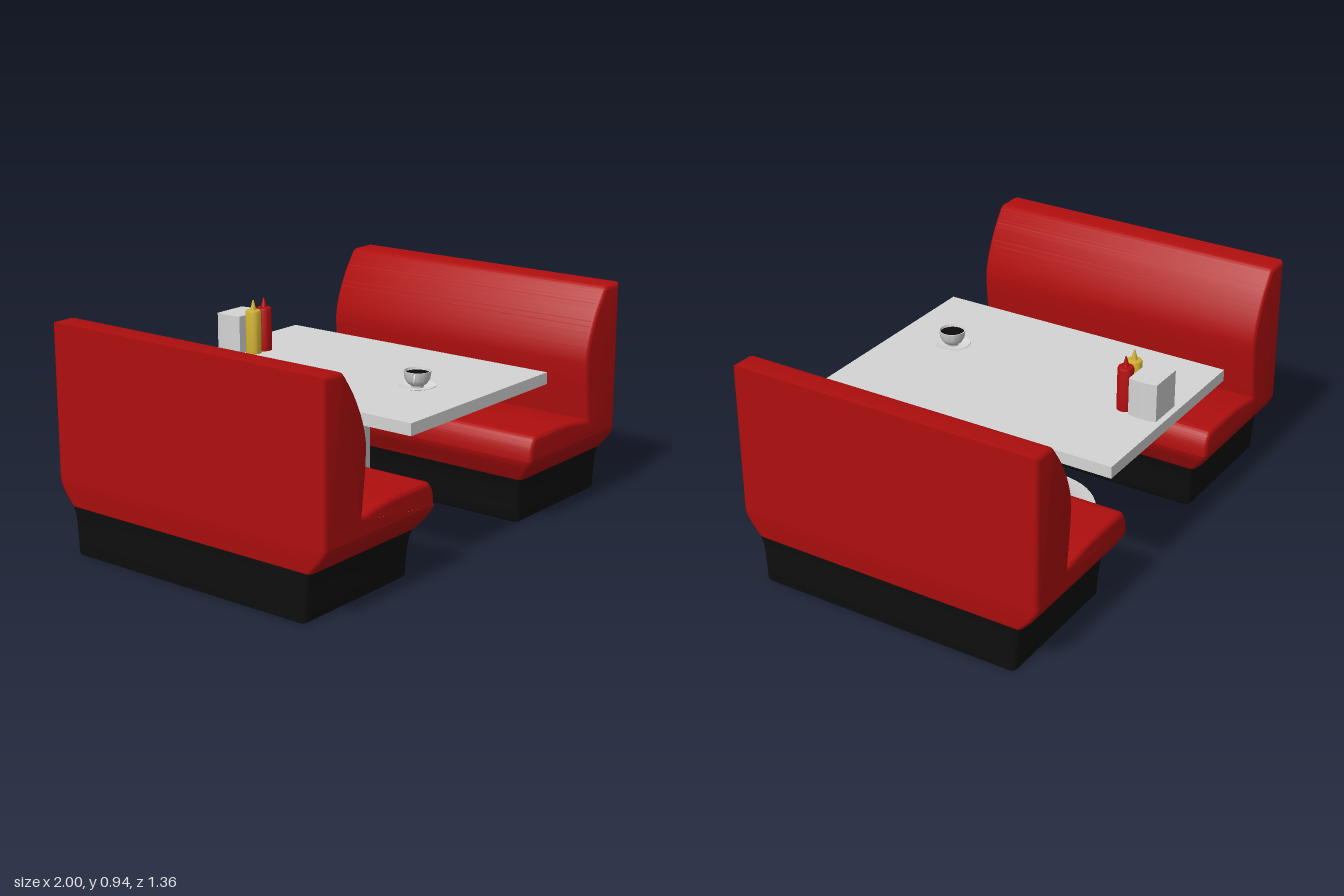
import * as THREE from 'three';
import { toCreasedNormals } from 'three/addons/utils/BufferGeometryUtils.js';

const material = (name, color, side = THREE.FrontSide) => {
  const m = new THREE.MeshStandardMaterial({ color, side });
  m.name = name;
  return m;
};
const V = (x, y) => new THREE.Vector2(x, y);
const ROUND = 0.02; // edge rounding of the upholstery

// Stacks rounded rectangles; rows are [y, front x, half width], back fixed at x = -1
function loft(rows) {
  const pos = [], index = [], n = 16;
  for (const [y, front, half] of rows) {
    const cx = (front - 1) / 2, hx = (front + 1) / 2 - ROUND, hz = half - ROUND;
    for (let c = 0; c < 4; c++) {
      const sx = c === 0 || c === 3 ? 1 : -1, sz = c < 2 ? 1 : -1;
      for (let i = 0; i < 4; i++) {
        const a = (c + i / 3) * Math.PI / 2;
        pos.push(cx + sx * hx + ROUND * Math.cos(a), y, sz * hz + ROUND * Math.sin(a));
      }
    }
  }
  for (let r = 0; r < rows.length - 1; r++) {
    for (let i = 0; i < n; i++) {
      const a = r * n + i, b = r * n + (i + 1) % n;
      index.push(a, a + n, b, b, a + n, b + n);
    }
  }
  for (let i = 1; i < n - 1; i++) index.push(0, i, i + 1); // underside
  const g = new THREE.BufferGeometry();
  g.setAttribute('position', new THREE.Float32BufferAttribute(pos, 3));
  g.setIndex(index);
  return toCreasedNormals(g, 0.7);
}

// Seat and backrest in one side profile, with rounded ends
function cushionGeometry() {
  const s = new THREE.Shape();
  s.moveTo(-1, 0.3);
  s.lineTo(-1, 0.94);
  s.lineTo(-0.905, 0.94);
  s.quadraticCurveTo(-0.885, 0.938, -0.87, 0.915);
  s.splineThru([V(-0.82, 0.84), V(-0.775, 0.745), V(-0.752, 0.66), V(-0.752, 0.58), V(-0.762, 0.48), V(-0.775, 0.38)]);
  s.splineThru([V(-0.67, 0.395), V(-0.56, 0.403), V(-0.385, 0.403)]);
  s.splineThru([V(-0.36, 0.393), V(-0.338, 0.355), V(-0.328, 0.3)]);
  const g = new THREE.ExtrudeGeometry(s, {
    depth: 1.36 - 2 * ROUND, curveSegments: 20, bevelEnabled: true,
    bevelThickness: ROUND, bevelSize: ROUND, bevelOffset: -ROUND, bevelSegments: 4,
  });
  g.translate(0, 0, -0.68 + ROUND);
  // Flatten the lower rim so it meets the tapered part beneath
  const p = g.attributes.position;
  for (let i = 0; i < p.count; i++) if (p.getY(i) < 0.322) p.setY(i, 0.3);
  return toCreasedNormals(g, 0.6);
}

export function createModel() {
  const red = material('red vinyl', 0xb00e0e);
  const black = material('black plinth', 0x0e0e0e);
  const grey = material('pale grey', 0xd4d4d4);
  const china = material('china', 0xd8d8d8, THREE.DoubleSide);
  const yellow = material('mustard yellow', 0xcdb032);
  const coffee = material('coffee', 0x0c0a0a);

  const model = new THREE.Group();
  model.name = 'dinerBooth';
  const add = (parent, name, geometry, mat, x = 0, y = 0, z = 0) => {
    const mesh = new THREE.Mesh(geometry, mat);
    mesh.name = name;
    mesh.position.set(x, y, z);
    parent.add(mesh);
    return mesh;
  };
  const lathe = (points, segments = 40) =>
    toCreasedNormals(new THREE.LatheGeometry(points.map(([x, y]) => V(x, y)), segments), 0.6);

  // Two facing benches
  const cushion = cushionGeometry();
  const skirt = loft([[0.2, -0.368, 0.613], [0.22, -0.36, 0.632], [0.25, -0.346, 0.657],
    [0.27, -0.337, 0.669], [0.285, -0.331, 0.676], [0.3, -0.328, 0.68]]);
  const plinth = loft([[0.004, -0.392, 0.581], [0.012, -0.386, 0.588], [0.06, -0.384, 0.59],
    [0.12, -0.381, 0.594], [0.16, -0.377, 0.599], [0.18, -0.373, 0.604], [0.2, -0.368, 0.613]]);
  for (const [name, turn] of [['rightBench', 0], ['leftBench', Math.PI]]) {
    const bench = new THREE.Group();
    bench.name = name;
    bench.rotation.y = turn;
    add(bench, 'cushion', cushion, red);
    add(bench, 'cushionSkirt', skirt, red);
    add(bench, 'plinth', plinth, black);
    model.add(bench);
  }

  // Table
  const table = new THREE.Group();
  table.name = 'table';
  model.add(table);
  add(table, 'tableTop', new THREE.BoxGeometry(0.935, 0.05, 1.34), grey, 0.003, 0.625, -0.01);
  add(table, 'pedestal', lathe([[0, 0.015], [0.3, 0.015], [0.3, 0.026], [0.25, 0.033], [0.2, 0.047],
    [0.15, 0.07], [0.12, 0.09], [0.1, 0.107], [0.092, 0.107], [0.092, 0.555], [0.098, 0.572],
    [0.11, 0.588], [0.128, 0.6]], 48), grey, 0.005, 0, -0.01);

  // Napkin dispenser with slightly bulging sides
  const d = new THREE.Shape();
  d.moveTo(-0.077, -0.062);
  d.lineTo(0.077, -0.062);
  d.quadraticCurveTo(0.093, 0, 0.077, 0.062);
  d.lineTo(-0.077, 0.062);
  d.quadraticCurveTo(-0.093, 0, -0.077, -0.062);
  const box = new THREE.ExtrudeGeometry(d, { depth: 0.16, bevelEnabled: false, curveSegments: 8 });
  box.rotateX(-Math.PI / 2);
  add(model, 'napkinDispenser', toCreasedNormals(box, 0.6), grey, 0, 0.65, -0.592);

  // Sauce bottles
  const bottle = lathe([[0, 0], [0.033, 0], [0.033, 0.178], [0.03, 0.185], [0.013, 0.188],
    [0.01, 0.2], [0.003, 0.228], [0, 0.228]], 24);
  add(model, 'mustardBottle', bottle, yellow, -0.028, 0.65, -0.495);
  add(model, 'ketchupBottle', bottle, red, 0.04, 0.65, -0.495);

  // Coffee cup on its saucer
  const cup = new THREE.Group();
  cup.name = 'coffeeCup';
  cup.position.set(-0.058, 0.65, 0.39);
  cup.rotation.y = 0.45;
  model.add(cup);
  add(cup, 'saucer', lathe([[0, 0.002], [0.045, 0.002], [0.075, 0.012], [0.074, 0.015],
    [0.045, 0.007], [0, 0.007]]), china);
  add(cup, 'bowl', lathe([[0, 0.007], [0.025, 0.007], [0.026, 0.014], [0.04, 0.024], [0.051, 0.042],
    [0.056, 0.075], [0.052, 0.075], [0.048, 0.045], [0.036, 0.028], [0, 0.02]]), china);
  const surface = new THREE.CircleGeometry(0.0505, 32);
  surface.rotateX(-Math.PI / 2);
  add(cup, 'coffeeSurface', surface, coffee, 0, 0.064, 0);
  const handle = new THREE.TorusGeometry(0.019, 0.0045, 8, 16, Math.PI);
  handle.rotateZ(Math.PI / 2);
  add(cup, 'handle', handle, china, -0.051, 0.048, 0);

  return model;
}
